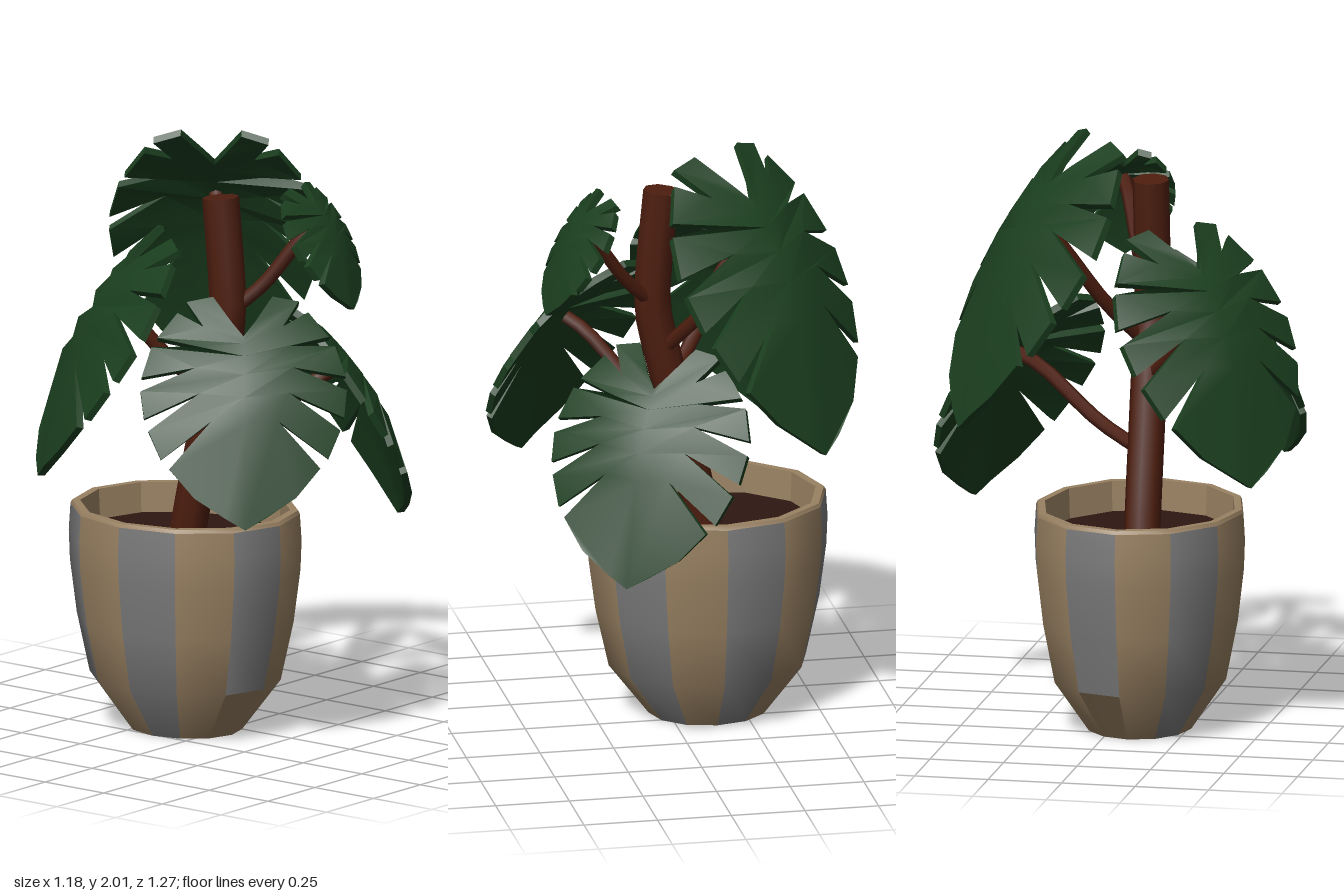
import * as THREE from 'three';
import { mergeGeometries, toCreasedNormals } from 'three/addons/utils/BufferGeometryUtils.js';

const mat = (color) => new THREE.MeshStandardMaterial({ color });
const green = mat(0x1b3f1f), bark = mat(0x4e1e0f), soilMat = mat(0x2e1711);
const beige = mat(0x9a8263), grey = mat(0x7c7c7c);
const V = (x, y, z) => new THREE.Vector3(x, y, z);

function add(parent, name, geometry, material) {
  const mesh = new THREE.Mesh(geometry, material);
  mesh.name = name;
  parent.add(mesh);
  return mesh;
}

function lathe(points, segments, start = 0, length = Math.PI * 2) {
  return new THREE.LatheGeometry(points.map(([r, y]) => new THREE.Vector2(r, y)), segments, start, length);
}

// Twelve-sided oval pot with alternating stripes
function makePot() {
  const pot = new THREE.Group();
  pot.name = 'pot';
  const foot = [[0.2, 0.005], [0.335, 0.18]];
  const wall = [[0.335, 0.18], [0.38, 0.38], [0.404, 0.56], [0.408, 0.66], [0.402, 0.75]];
  const step = Math.PI / 6;
  for (let i = 0; i < 12; i++) {
    const color = i % 2 ? beige : grey;
    if (i === 2 || i === 8) {
      // these two grey stripes stop above the foot
      add(pot, 'potStripe', lathe(wall, 1, i * step, step), color);
      add(pot, 'potFoot', lathe(foot, 1, i * step, step), beige);
    } else {
      add(pot, 'potStripe', lathe([...foot, ...wall.slice(1)], 1, i * step, step), color);
    }
  }
  add(pot, 'potRim', toCreasedNormals(lathe([[0.402, 0.75], [0.396, 0.762], [0.368, 0.762], [0.362, 0.64]], 12), 0.5), beige);
  const base = add(pot, 'potBase', new THREE.CircleGeometry(0.2, 12), beige);
  base.rotation.x = Math.PI / 2;
  base.position.y = 0.005;
  const soil = add(pot, 'soil', new THREE.CircleGeometry(0.368, 12), soilMat);
  soil.rotation.x = -Math.PI / 2;
  soil.position.y = 0.66;
  pot.position.set(-0.135, 0, 0.085);
  pot.scale.z = 0.877;
  return pot;
}

// Half-leaf layout: points on the midrib, slit ends, and the outer edge of each finger
const midrib = [[0, 0], [0, 0.04], [0, 0.11], [0, 0.21], [0, 0.33], [0, 0.47], [0, 1]];
const slits = [[0.12, -0.09], [0.39, -0.07], [0.46, 0.04], [0.48, 0.16], [0.44, 0.3], [0.33, 0.45], [0.2, 0.94]];
const edges = [
  [[0.29, -0.25], [0.55, -0.24]], [[0.64, -0.18], [0.84, -0.05]], [[0.9, 0.0], [1, 0.17]],
  [[1.01, 0.25], [0.98, 0.41]], [[0.94, 0.48], [0.82, 0.64]], [[0.74, 0.69], [0.5, 0.84]],
];

// Slit leaf: extruded fingers on both sides of the midrib, bent into a drooping dome
function leafGeometry({ at, azimuth, size, halfWidth }) {
  const thickness = 0.024, fingers = [];
  for (const side of [1, -1]) {
    edges.forEach(([a, b], i) => {
      const outline = [midrib[i], slits[i], a, b, slits[i + 1], midrib[i + 1]];
      const shape = new THREE.Shape(outline.map(([u, v]) => new THREE.Vector2(u * side, v)));
      fingers.push(new THREE.ExtrudeGeometry(shape, { depth: thickness, bevelEnabled: false }));
    });
  }
  const geometry = mergeGeometries(fingers);
  const p = geometry.attributes.position;
  const hx = Math.sin(azimuth), hz = Math.cos(azimuth);
  const start = 0.82, curl = 0.72, dome = 0.13;
  for (let i = 0; i < p.count; i++) {
    const u = p.getX(i), v = p.getY(i), angle = start + curl * v, across = u * halfWidth;
    const lift = p.getZ(i) - thickness / 2 - dome * u * u * size;
    const out = size * (Math.sin(angle) - Math.sin(start)) / curl + lift * Math.sin(angle);
    const drop = size * (Math.cos(start) - Math.cos(angle)) / curl - lift * Math.cos(angle);
    p.setXYZ(i, at[0] + out * hx - across * hz, at[1] - drop, at[2] + out * hz + across * hx);
  }
  return toCreasedNormals(geometry, 0.7);
}

export function createModel() {
  const plant = new THREE.Group();
  plant.name = 'pottedPlant';
  plant.add(makePot());

  // Trunk leaning to one side, then bending upright
  const trunkPath = new THREE.CatmullRomCurve3([
    V(-0.13, 0.62, 0.09), V(-0.1, 0.77, 0.09), V(-0.02, 1.12, 0.09),
    V(0.05, 1.43, 0.09), V(0.047, 1.55, 0.09), V(0.02, 1.84, 0.09),
  ]);
  add(plant, 'trunk', new THREE.TubeGeometry(trunkPath, 14, 0.062, 8), bark);
  const cap = add(plant, 'trunkTop', new THREE.CircleGeometry(0.062, 8).rotateX(-Math.PI / 2), bark);
  cap.position.set(0.02, 1.84, 0.09);
  cap.rotation.z = 0.09;

  // Leaves, placed by the notch, each on its own stalk from the trunk
  const deg = Math.PI / 180;
  const leaves = [
    { name: 'frontLeft', at: [0.27, 1.43, 0.28], azimuth: 40 * deg, size: 0.66, halfWidth: 0.34, from: [0, 1.06, 0.1] },
    { name: 'frontRight', at: [-0.22, 1.59, 0.3], azimuth: -41 * deg, size: 0.76, halfWidth: 0.34, from: [-0.02, 1.18, 0.1] },
    { name: 'backRight', at: [-0.23, 1.87, -0.19], azimuth: 215 * deg, size: 0.89, halfWidth: 0.35, from: [0.01, 1.3, 0.06] },
    { name: 'backLeft', at: [0.13, 1.29, -0.35], azimuth: 148 * deg, size: 0.68, halfWidth: 0.34, from: [-0.05, 0.93, 0.07] },
    { name: 'smallTop', at: [0.3, 1.82, -0.06], azimuth: 100 * deg, size: 0.37, halfWidth: 0.17, from: [0.06, 1.46, 0.07] },
  ];
  for (const leaf of leaves) {
    const reach = 0.07 * leaf.size;
    const a = V(...leaf.from);
    const b = V(...leaf.at).add(V(reach * Math.sin(leaf.azimuth), -2 * reach, reach * Math.cos(leaf.azimuth)));
    const near = a.clone().lerp(b, 0.35).add(V(0, -0.015, 0));
    const far = a.clone().lerp(b, 0.8).add(V(0, 0.015, 0));
    const path = new THREE.CatmullRomCurve3([a, near, far, b]);
    add(plant, leaf.name + 'Stalk', new THREE.TubeGeometry(path, 8, 0.024, 6), bark);
    add(plant, leaf.name + 'Leaf', leafGeometry(leaf), green);
  }
  return plant;
}
